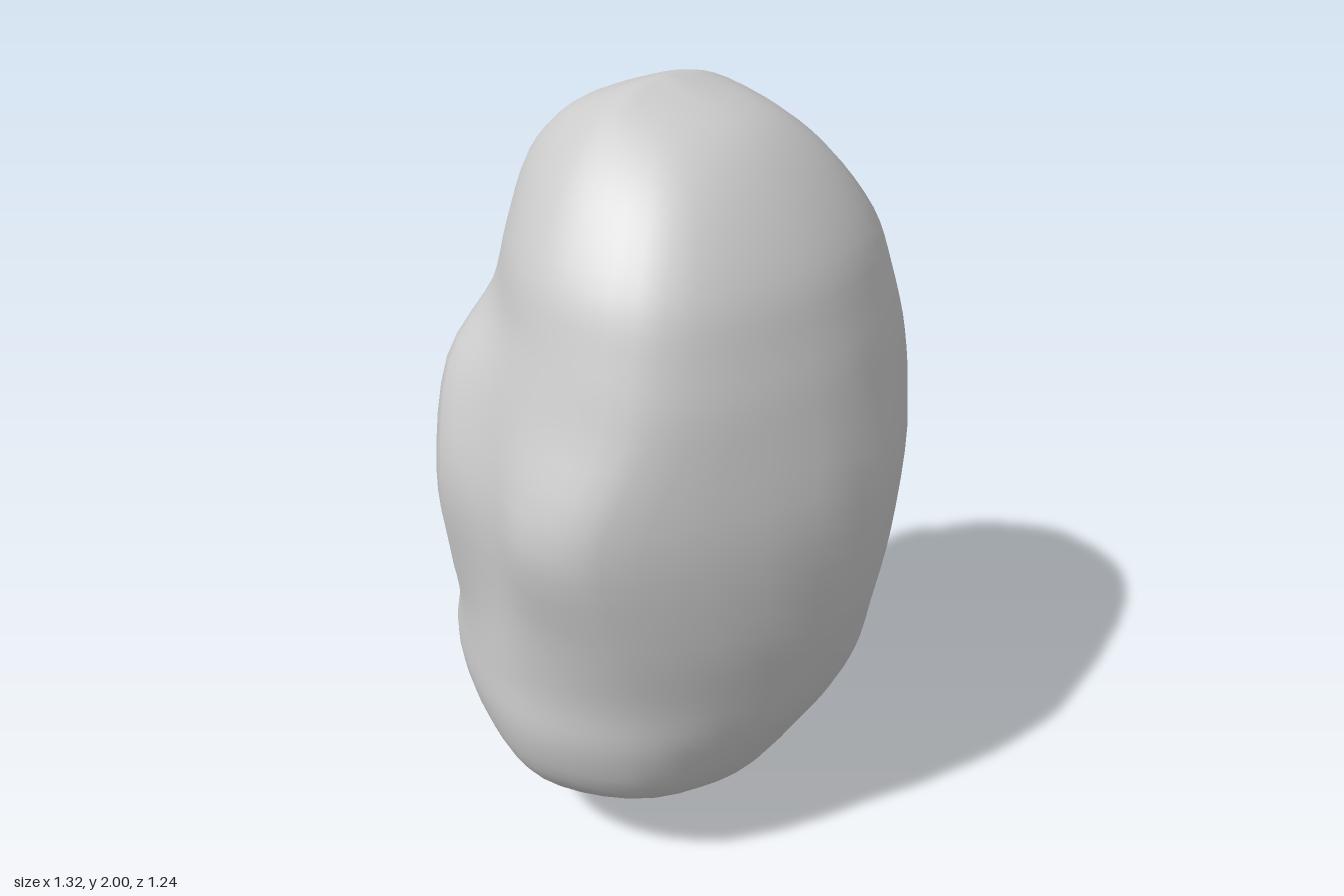
import * as THREE from 'three';
import { mergeVertices } from 'three/addons/utils/BufferGeometryUtils.js';

// Half cross-sections from top to bottom:
// y, front z, front cheek x z, widest side x z, side hollow x z, back corner x z, back z
const LEVELS = [
  [1.98, 0.08, 0.09, 0.05, 0.14, 0.01, 0.12, -0.03, 0.08, -0.06, -0.07],
  [1.92, 0.24, 0.18, 0.18, 0.255, 0.03, 0.23, -0.07, 0.14, -0.18, -0.21],
  [1.81, 0.36, 0.28, 0.28, 0.37, 0.06, 0.33, -0.09, 0.18, -0.27, -0.295],
  [1.65, 0.47, 0.38, 0.35, 0.475, 0.09, 0.42, -0.09, 0.21, -0.31, -0.335],
  [1.50, 0.525, 0.43, 0.38, 0.525, 0.12, 0.46, -0.09, 0.26, -0.325, -0.345],
  [1.34, 0.57, 0.48, 0.39, 0.575, 0.14, 0.53, -0.08, 0.44, -0.32, -0.345],
  [1.08, 0.62, 0.59, 0.335, 0.66, 0.15, 0.60, -0.03, 0.53, -0.285, -0.375],
  [0.80, 0.60, 0.52, 0.36, 0.61, 0.14, 0.58, -0.05, 0.45, -0.35, -0.475],
  [0.60, 0.55, 0.45, 0.375, 0.585, 0.12, 0.55, -0.14, 0.31, -0.47, -0.585],
  [0.44, 0.49, 0.43, 0.365, 0.585, 0.09, 0.525, -0.19, 0.28, -0.52, -0.62],
  [0.28, 0.40, 0.395, 0.31, 0.53, 0.05, 0.47, -0.18, 0.26, -0.47, -0.57],
  [0.14, 0.31, 0.25, 0.22, 0.39, 0.0, 0.35, -0.17, 0.22, -0.35, -0.42],
  [0.04, 0.19, 0.14, 0.12, 0.22, -0.01, 0.20, -0.10, 0.13, -0.17, -0.21],
];
const ROWS = 56;
const SIDES = 48;

// Six lengthwise rails per half, running from the top pole to the bottom pole
function makeRails() {
  const pick = [
    (l) => [0, l[1]],
    (l) => [l[2], l[3]],
    (l) => [l[4], l[5]],
    (l) => [l[6], l[7]],
    (l) => [l[8], l[9]],
    (l) => [0, l[10]],
  ];
  return pick.map((f) => {
    const pts = LEVELS.map((l) => {
      const [x, z] = f(l);
      return new THREE.Vector3(x, l[0], z);
    });
    const ends = [new THREE.Vector3(0, 2, 0), new THREE.Vector3(0, 0, 0)];
    // Uniform spacing keeps all rails at the same height for the same t
    return new THREE.CatmullRomCurve3([ends[0], ...pts, ends[1]], false, 'catmullrom', 0.5);
  });
}

// Smooth closed ring through the rails and their mirrored copies
function ringAt(rails, t) {
  const half = rails.map((r) => r.getPoint(t));
  const mirrored = half.slice(1, -1).reverse().map((p) => new THREE.Vector3(-p.x, p.y, p.z));
  const ring = new THREE.CatmullRomCurve3([...half, ...mirrored], true);
  return Array.from({ length: SIDES }, (_, j) => ring.getPoint(j / SIDES));
}

function stoneGeometry() {
  const rails = makeRails();
  const pos = [0, 2, 0];
  for (let i = 1; i < ROWS; i++) {
    for (const p of ringAt(rails, i / ROWS)) pos.push(p.x, Math.max(0, p.y), p.z);
  }
  pos.push(0, 0, 0);
  const last = pos.length / 3 - 1;

  const index = [];
  const at = (i, j) => 1 + i * SIDES + (j % SIDES);
  for (let j = 0; j < SIDES; j++) {
    index.push(0, at(0, j), at(0, j + 1));
    for (let i = 0; i < ROWS - 2; i++) {
      const a = at(i, j), b = at(i + 1, j), c = at(i + 1, j + 1), d = at(i, j + 1);
      index.push(a, b, c, a, c, d);
    }
    index.push(at(ROWS - 2, j), last, at(ROWS - 2, j + 1));
  }

  const geo = new THREE.BufferGeometry();
  geo.setAttribute('position', new THREE.Float32BufferAttribute(pos, 3));
  geo.setIndex(index);
  const merged = mergeVertices(geo);
  merged.computeVertexNormals();
  return merged;
}

export function createModel() {
  const group = new THREE.Group();
  group.name = 'stone';
  const body = new THREE.Mesh(stoneGeometry(), new THREE.MeshStandardMaterial({ color: 0xcccccc }));
  body.name = 'stoneBody';
  group.add(body);
  return group;
}
